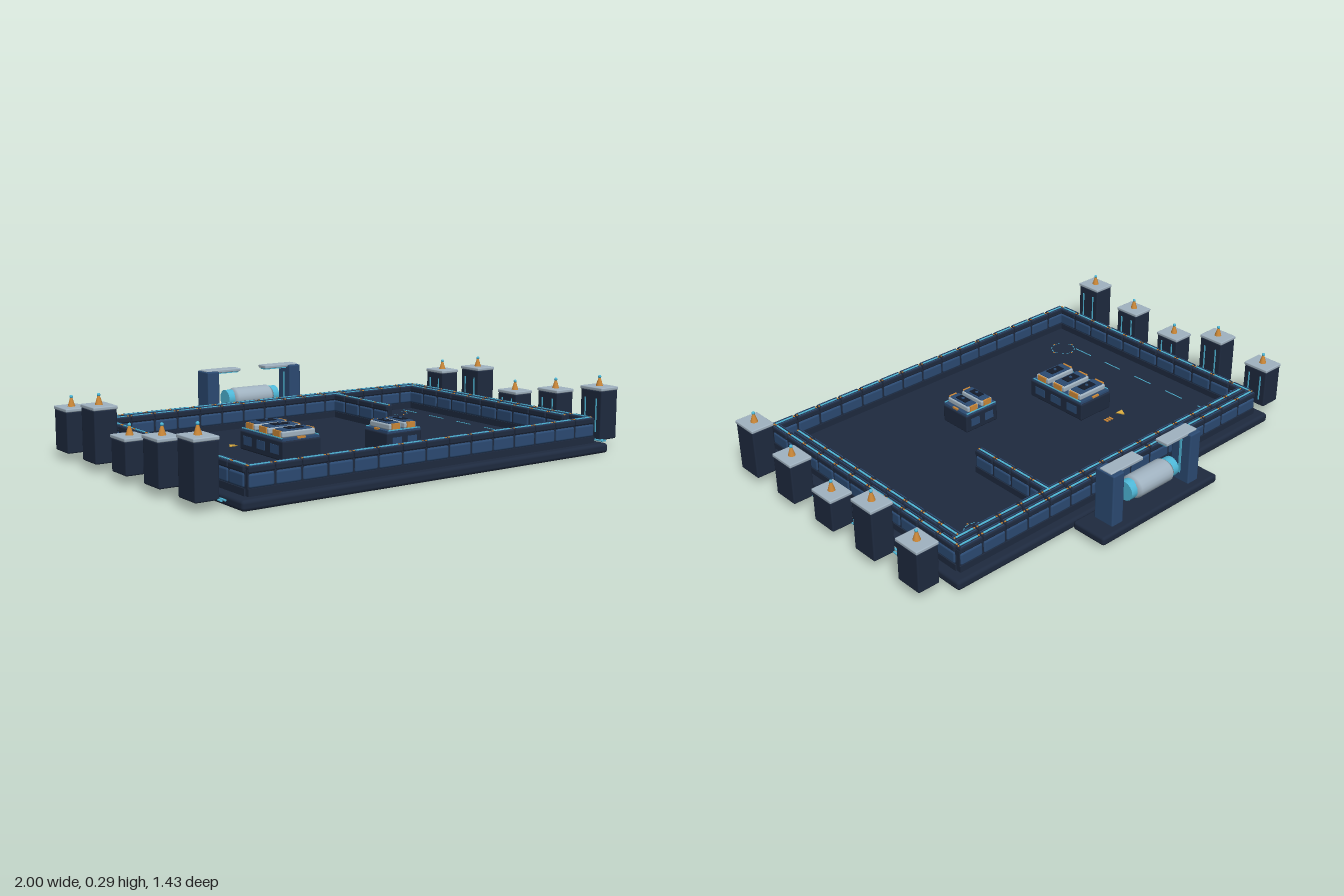
import * as THREE from 'three';
import { RoundedBoxGeometry } from 'three/addons/geometries/RoundedBoxGeometry.js';

const mat = (color) => new THREE.MeshStandardMaterial({ color });
const NAVY = mat(0x1e2a3f), BLUE = mat(0x2b4a72), GREY = mat(0xa0b2c0), CYAN = mat(0x4fb8d8),
  ORANGE = mat(0xcc8838), YELLOW = mat(0xe0b040), DARK = mat(0x141c2b);

function add(parent, name, geometry, material, x, y, z) {
  const mesh = new THREE.Mesh(geometry, material);
  mesh.name = name;
  mesh.position.set(x, y, z);
  parent.add(mesh);
  return mesh;
}
const box = (p, name, m, w, h, d, x, y, z) => add(p, name, new THREE.BoxGeometry(w, h, d), m, x, y, z);
const rbox = (p, name, m, w, h, d, x, y, z, r = 0.006) =>
  add(p, name, new RoundedBoxGeometry(w, h, d, 2, r), m, x, y, z);
function group(parent, name, x = 0, y = 0, z = 0) {
  const g = new THREE.Group();
  g.name = name;
  g.position.set(x, y, z);
  parent.add(g);
  return g;
}

// Wall of repeated panels running along local x, centred on its group
function wall(parent, name, length, count, x, z, alongZ) {
  const g = group(parent, name, x, 0.04, z);
  if (alongZ) g.rotation.y = Math.PI / 2;
  const step = length / count;
  box(g, 'wallCore', NAVY, length, 0.09, 0.022, 0, 0.045, 0);
  box(g, 'wallFoot', NAVY, length, 0.026, 0.032, 0, 0.013, 0);
  for (let i = 0; i < count; i++) {
    const px = -length / 2 + (i + 0.5) * step;
    rbox(g, 'wallPanel', BLUE, step * 0.93, 0.05, 0.034, px, 0.052, 0, 0.008);
    rbox(g, 'wallCap', NAVY, step * 0.97, 0.024, 0.036, px, 0.091, 0);
    box(g, 'lightStrip', CYAN, step * 0.75, 0.004, 0.007, px, 0.104, 0);
    for (const s of [-1, 1]) {
      box(g, 'capRail', BLUE, step * 0.85, 0.004, 0.003, px, 0.103, s * 0.012);
      box(g, 'jointStud', ORANGE, 0.006, 0.005, 0.006, px + s * step * 0.43, 0.103, 0);
    }
  }
}

// Pylon with capped top, cone and beacon; side points to the outside
function pylon(parent, side, z, top) {
  const g = group(parent, 'pylon', side * 0.95, 0, z);
  rbox(g, 'pylonBody', NAVY, 0.094, top - 0.045, 0.116, 0, (top + 0.02) / 2, 0);
  rbox(g, 'pylonCap', GREY, 0.1, 0.014, 0.12, 0, top - 0.007, 0, 0.004);
  add(g, 'beaconCone', new THREE.CylinderGeometry(0.004, 0.015, 0.036, 12), ORANGE, 0, top + 0.018, 0);
  add(g, 'beacon', new THREE.SphereGeometry(0.007, 10, 8), CYAN, 0, top + 0.038, 0);
  for (const s of [-1, 1])
    box(g, 'pylonLight', CYAN, 0.003, (top - 0.05) * 0.7, 0.006, -side * 0.048, top / 2 + 0.01, s * 0.03);
}

// Console with bays stacked along local z
function consoleUnit(parent, name, w, d, bays, x, z, turned) {
  const g = group(parent, name, x, 0.04, z);
  if (turned) g.rotation.y = Math.PI / 2;
  rbox(g, 'consoleBody', NAVY, w, 0.076, d, 0, 0.038, 0);
  box(g, 'consoleRim', BLUE, w * 0.96, 0.01, d * 0.96, 0, 0.08, 0);
  const step = (d - 0.02) / bays;
  for (let i = 0; i < bays; i++) {
    const bz = -d / 2 + 0.01 + (i + 0.5) * step;
    rbox(g, 'bayTray', GREY, w * 0.86, 0.024, step * 0.78, 0, 0.097, bz);
    rbox(g, 'bayCover', BLUE, w * 0.76, 0.012, step * 0.62, 0, 0.108, bz, 0.004);
    box(g, 'bayHatch', DARK, w * 0.4, 0.004, step * 0.4, 0, 0.115, bz);
    add(g, 'bayKnob', new THREE.CylinderGeometry(0.007, 0.007, 0.006, 10), BLUE, 0, 0.118, bz);
    for (const s of [-1, 1]) {
      box(g, 'bayClamp', ORANGE, 0.008, 0.026, step * 0.5, s * w * 0.43, 0.098, bz);
      box(g, 'sideVent', BLUE, 0.004, 0.035, step * 0.6, s * w * 0.5, 0.04, bz);
    }
  }
  for (const s of [-1, 1]) {
    box(g, 'edgeLight', CYAN, 0.004, 0.004, d * 0.92, s * w * 0.47, 0.086, 0);
    box(g, 'endTab', ORANGE, w * 0.2, 0.008, 0.008, 0, 0.085, s * (d / 2 - 0.006));
  }
}

// Gate on its own plinth, with two posts, arms and a drum between them
function gate(parent) {
  const g = group(parent, 'gate', 0, 0, -0.64);
  rbox(g, 'gatePlinth', NAVY, 0.64, 0.036, 0.16, 0, 0.033, 0, 0.012);
  for (const s of [-1, 1]) {
    rbox(g, 'gatePost', BLUE, 0.058, 0.222, 0.094, s * 0.212, 0.157, 0);
    rbox(g, 'gateArm', GREY, 0.172, 0.014, 0.06, s * 0.151, 0.266, 0, 0.004);
    box(g, 'armLight', CYAN, 0.11, 0.005, 0.04, s * 0.125, 0.2565, 0);
    box(g, 'postLight', CYAN, 0.004, 0.15, 0.01, s * 0.182, 0.16, 0);
    const end = add(g, 'drumEnd', new THREE.CylinderGeometry(0.04, 0.04, 0.034, 16), CYAN, s * 0.113, 0.137, 0);
    end.rotation.z = Math.PI / 2;
  }
  // Drum with chamfered ends
  const profile = [[0, -0.1], [0.042, -0.1], [0.052, -0.085], [0.052, 0.085], [0.042, 0.1], [0, 0.1]]
    .map(([r, y]) => new THREE.Vector2(r, y));
  const drum = add(g, 'drum', new THREE.LatheGeometry(profile, 20), GREY, 0, 0.137, 0);
  drum.rotation.z = Math.PI / 2;
  drum.scale.x = 0.88;
}

// Dashed ring marking on the floor
function floorRing(parent, x, z) {
  const g = group(parent, 'floorRing', x, 0.0415, z);
  for (let i = 0; i < 12; i++) {
    const arc = add(g, 'ringDash', new THREE.RingGeometry(0.051, 0.054, 4, 1, i * Math.PI / 6, 0.36), CYAN, 0, 0, 0);
    arc.rotation.x = -Math.PI / 2;
  }
  for (let i = 0; i < 4; i++) {
    const a = i * Math.PI / 2;
    box(g, 'ringTick', ORANGE, 0.006, 0.002, 0.006, 0.058 * Math.cos(a), 0, 0.058 * Math.sin(a));
  }
}

export function createModel() {
  const model = new THREE.Group();
  model.name = 'walledPlatform';

  rbox(model, 'floor', NAVY, 1.73, 0.04, 1.256, 0, 0.02, 0.082, 0.014);

  // Perimeter, inner walls and partition
  wall(model, 'frontWall', 1.64, 15, 0, 0.657, false);
  wall(model, 'backWall', 1.64, 15, 0, -0.49, false);
  wall(model, 'innerBackWall', 1.6, 15, 0, -0.445, false);
  wall(model, 'rightWall', 1.14, 11, -0.81, 0.085, true);
  wall(model, 'leftWall', 1.14, 11, 0.81, 0.085, true);
  wall(model, 'innerLeftWall', 1.0, 10, 0.77, 0.06, true);
  wall(model, 'partition', 0.41, 4, 0.333, -0.25, true);

  // Pylon rows with conduits
  const tops = [0.21, 0.25, 0.172, 0.21, 0.25];
  for (const side of [-1, 1]) {
    tops.forEach((top, i) => pylon(model, side, -0.434 + i * 0.251, top));
    for (const x of [0.895, 0.91]) {
      const pipe = add(model, 'conduit', new THREE.CylinderGeometry(0.004, 0.004, 1.04, 8), CYAN, side * x, 0.035, 0.13);
      pipe.rotation.x = Math.PI / 2;
    }
  }

  gate(model);
  consoleUnit(model, 'largeConsole', 0.176, 0.31, 3, -0.325, 0.105, false);
  consoleUnit(model, 'smallConsole', 0.15, 0.17, 2, 0.094, 0.28, true);

  // Floor markings
  floorRing(model, -0.65, 0.482);
  floorRing(model, 0.608, -0.355);
  for (let i = 0; i < 5; i++)
    for (const x of [-0.693, 0.69])
      box(model, 'floorDash', CYAN, 0.004, 0.003, 0.095, x, 0.0405, -0.35 + i * 0.185);
  const sign = add(model, 'warningTriangle', new THREE.CylinderGeometry(0.022, 0.022, 0.004, 3), YELLOW, -0.41, 0.042, -0.115);
  sign.rotation.y = Math.PI;
  for (let i = -1; i <= 1; i++)
    box(model, 'warningBar', ORANGE, 0.008, 0.004, 0.022, -0.33 + i * 0.014, 0.042, -0.12);

  return model;
}
